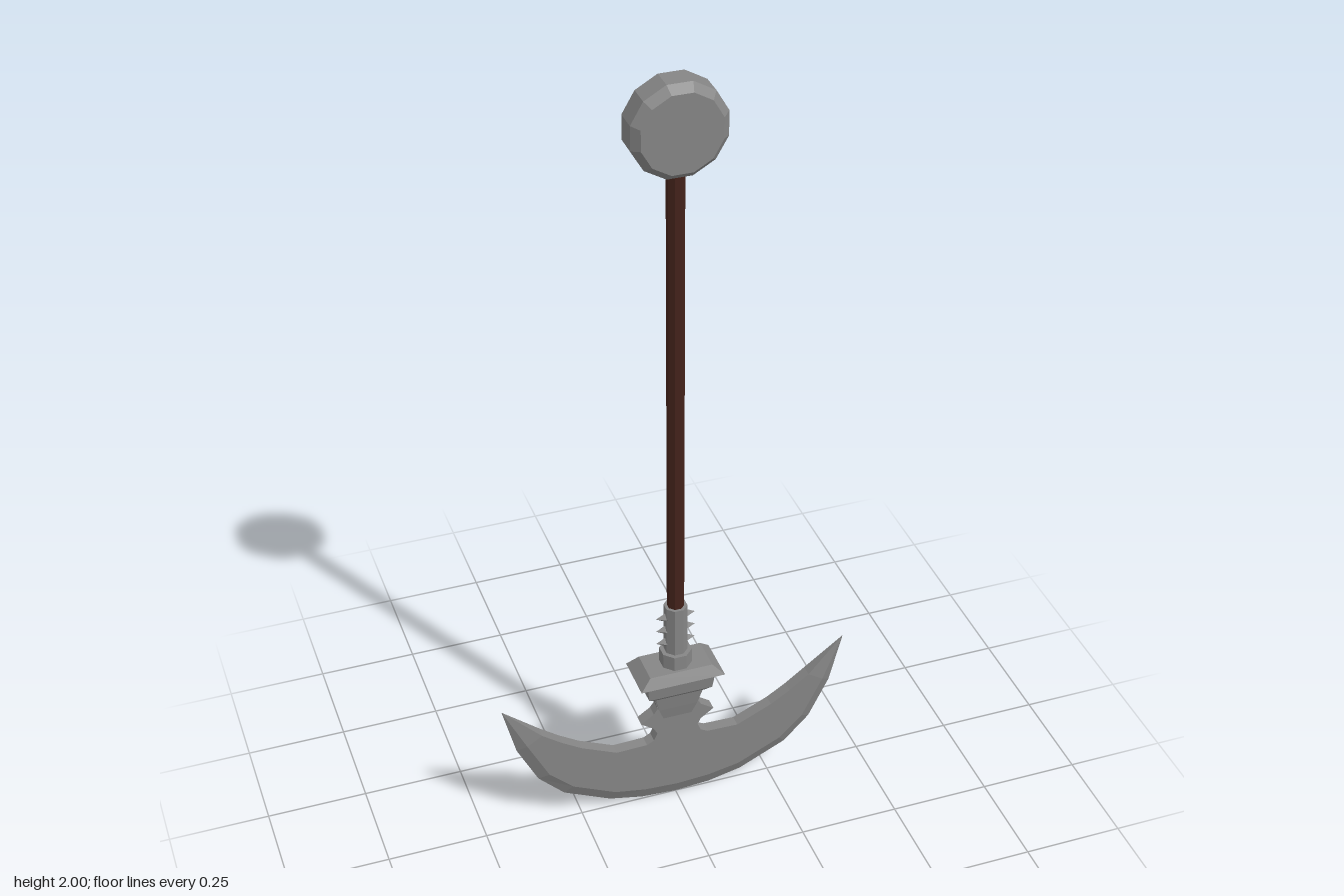
import * as THREE from 'three';

const steel = new THREE.MeshStandardMaterial({ color: 0x858585, flatShading: true });
steel.name = 'steel';
const wood = new THREE.MeshStandardMaterial({ color: 0x43221a, flatShading: true });
wood.name = 'dark wood';

// Skin a list of equal-length point loops, closing both ends
function loft(loops) {
  const pos = [];
  const tri = (...pts) => pts.forEach((p) => pos.push(...p));
  const n = loops[0].length;
  for (let i = 0; i < loops.length - 1; i++) {
    for (let j = 0; j < n; j++) {
      const k = (j + 1) % n;
      const [a, b, c, d] = [loops[i][j], loops[i][k], loops[i + 1][k], loops[i + 1][j]];
      tri(a, d, c);
      tri(a, c, b);
    }
  }
  const first = loops[0], last = loops[loops.length - 1];
  for (let j = 1; j < n - 1; j++) {
    tri(first[0], first[j], first[j + 1]);
    tri(last[0], last[j + 1], last[j]);
  }
  const geo = new THREE.BufferGeometry();
  geo.setAttribute('position', new THREE.Float32BufferAttribute(pos, 3));
  geo.computeVertexNormals();
  return geo;
}

// Rectangular stack from [y, half width, half depth] levels, bottom to top
const stack = (levels) => loft(levels.map(([y, x, z]) =>
  [[x, y, z], [-x, y, z], [-x, y, -z], [x, y, -z]]));

export function createModel() {
  const group = new THREE.Group();
  const add = (name, geometry, material = steel) => {
    const mesh = new THREE.Mesh(geometry, material);
    mesh.name = name;
    group.add(mesh);
    return mesh;
  };

  // Bevelled twelve-sided disc pommel
  const profile = [[0, -0.047], [0.096, -0.047], [0.114, -0.028],
    [0.114, 0.028], [0.096, 0.047], [0, 0.047]].map((p) => new THREE.Vector2(...p));
  add('pommel', new THREE.LatheGeometry(profile, 12)
    .rotateY(Math.PI / 12).rotateX(Math.PI / 2).translate(0, 1.89, 0));

  // Shaft, socket and collar
  const rod = (r, y0, y1) => new THREE.CylinderGeometry(r, r, y1 - y0, 8)
    .rotateY(Math.PI / 8).translate(0, (y0 + y1) / 2, 0);
  add('shaft', rod(0.021, 0.58, 1.8), wood);
  add('socket', rod(0.029, 0.46, 0.605));
  add('collar', rod(0.04, 0.42, 0.47));

  // Small spikes along both sides of the socket
  for (const side of [-1, 1]) {
    for (const y of [0.572, 0.534, 0.496]) {
      add('socketSpike', new THREE.ConeGeometry(0.015, 0.028, 4)
        .rotateZ(-side * Math.PI / 2).translate(side * 0.036, y, 0));
    }
  }

  // Stepped guard block and the tapered wedge beneath it
  add('guard', stack([[0.343, 0.066, 0.03], [0.355, 0.082, 0.04], [0.39, 0.086, 0.045],
    [0.403, 0.108, 0.06], [0.43, 0.08, 0.044]]));
  add('neckWedge', stack([[0.26, 0.035, 0.014], [0.3, 0.05, 0.022], [0.345, 0.062, 0.029]]));

  // Flat neck with a barb on each side
  const half = [[0.09, 0.185], [0.062, 0.2], [0.053, 0.22], [0.062, 0.238],
    [0.095, 0.262], [0.062, 0.285], [0.052, 0.3], [0.062, 0.345]];
  const outline = [...half, ...half.map(([x, y]) => [-x, y]).reverse()];
  add('neck', new THREE.ExtrudeGeometry(
    new THREE.Shape(outline.map((p) => new THREE.Vector2(...p))),
    { depth: 0.03, bevelEnabled: false }).translate(0, 0, -0.015));

  // Crescent blade: inner edge, bevel line and cutting edge from tip to middle
  const sections = [
    [[0.445, 0.39], [0.445, 0.39], [0.445, 0.39], 0],
    [[0.35, 0.3], [0.388, 0.275], [0.412, 0.257], 0.015],
    [[0.3, 0.262], [0.335, 0.168], [0.36, 0.15], 0.015],
    [[0.25, 0.23], [0.275, 0.11], [0.295, 0.083], 0.015],
    [[0.16, 0.188], [0.165, 0.057], [0.175, 0.025], 0.015],
    [[0.085, 0.19], [0.085, 0.042], [0.09, 0.006], 0.015],
    [[0, 0.19], [0, 0.037], [0, 0], 0.015],
  ];
  const loop = ([i, r, o, z], s) => [[s * i[0], i[1], z], [s * r[0], r[1], z],
    [s * o[0], o[1], 0], [s * r[0], r[1], -z], [s * i[0], i[1], -z]];
  add('blade', loft([
    ...sections.map((s) => loop(s, 1)),
    ...sections.slice(0, -1).reverse().map((s) => loop(s, -1)),
  ]));

  return group;
}
